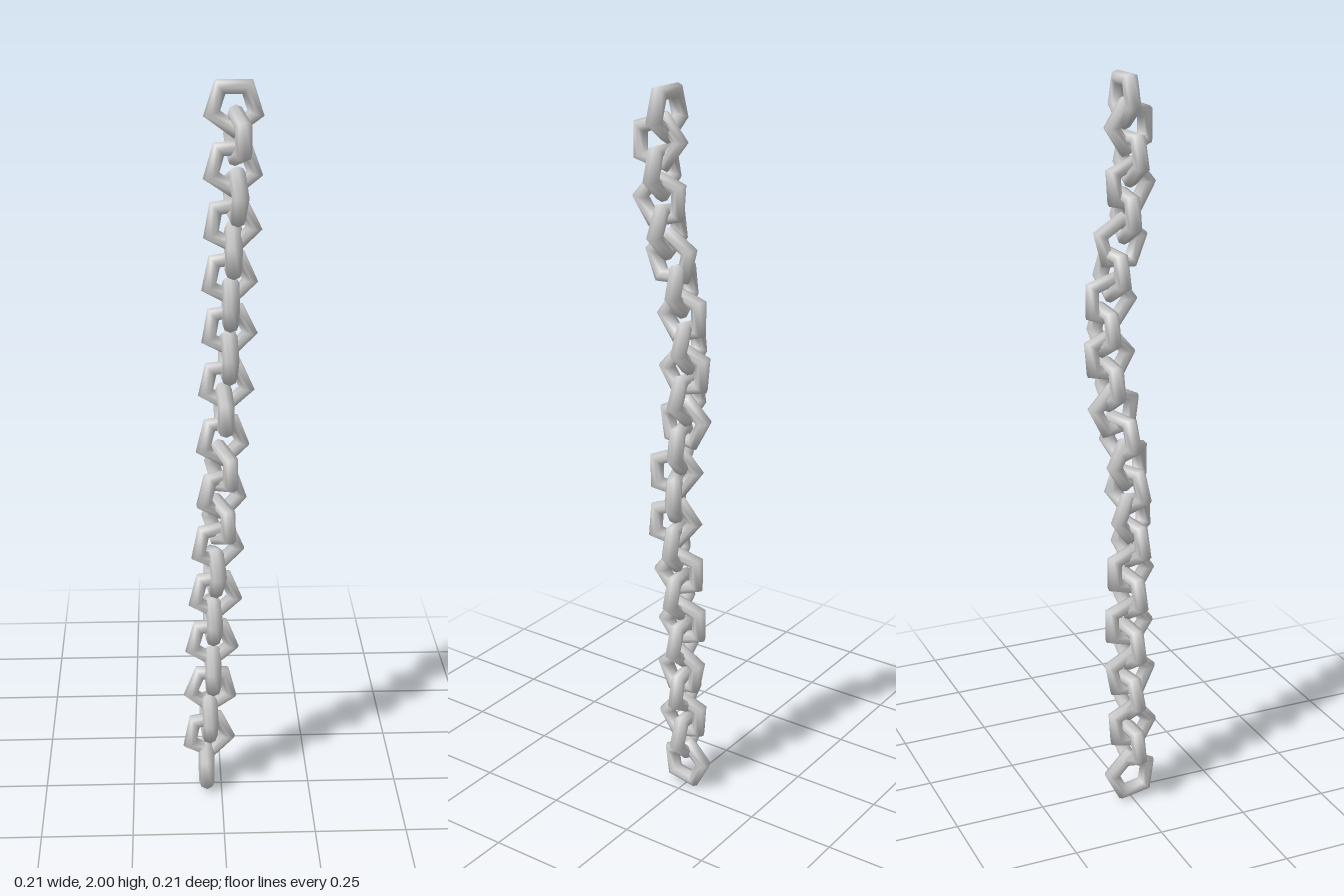
import * as THREE from 'three';

// One row per link, top to bottom: x, z, in-plane spin, twist about the chain (degrees)
const LINKS = [
  [0.03, 0.013, -90, 0], [0.04, 0.033, 0, 14],
  [0.027, 0.03, -88, 5], [0.035, 0.028, 176, 10],
  [0.025, 0.015, -82, 0], [0.03, 0, 21, 0],
  [0.02, -0.025, -84, 10], [0.025, -0.033, 180, 0],
  [0.02, -0.048, -82, 5], [0.02, -0.038, 175, 5],
  [0.012, -0.035, -84, 0], [0.008, -0.025, 8, 5],
  [0.003, -0.01, -87, 18], [0.002, 0.012, 0, 27],
  [0, 0.01, -88, 28], [-0.005, 0.02, -4, 28],
  [-0.012, 0.015, -84, 15], [-0.018, 0.005, 180, 10],
  [-0.018, 0.01, -86, 8], [-0.023, -0.003, 180, 5],
  [-0.027, 0.005, -87, 5], [-0.023, 0.003, 25, 0],
  [-0.03, 0, -94, 5], [-0.035, 0.003, 32, 5],
  [-0.037, 0, -83, 8], [-0.042, 0, 8, 0],
];

export function createModel() {
  const chain = new THREE.Group();
  chain.name = 'chain';
  const material = new THREE.MeshStandardMaterial({ color: 0xcccccc });
  // Five-sided ring with a round bar
  const ring = new THREE.TorusGeometry(0.057, 0.022, 8, 5);
  const last = LINKS.length - 1;

  LINKS.forEach(([x, z, spin, twist], i) => {
    const crosswise = i % 2 === 1;
    // Even pitch, with the lower links sitting slightly higher
    const lift = crosswise ? 0.018 * Math.sin(Math.PI * i / last) : 0.02 * Math.min(1, i / 14);
    const link = new THREE.Mesh(ring, material);
    link.name = `chainLink${i + 1}`;
    link.position.set(x, THREE.MathUtils.lerp(1.936, 0.071, i / last) + lift, z);
    // Every other link is turned a quarter around the chain
    link.rotation.set(
      0,
      THREE.MathUtils.degToRad((crosswise ? 90 : 0) + twist),
      THREE.MathUtils.degToRad(spin),
      'YXZ'
    );
    chain.add(link);
  });
  return chain;
}
